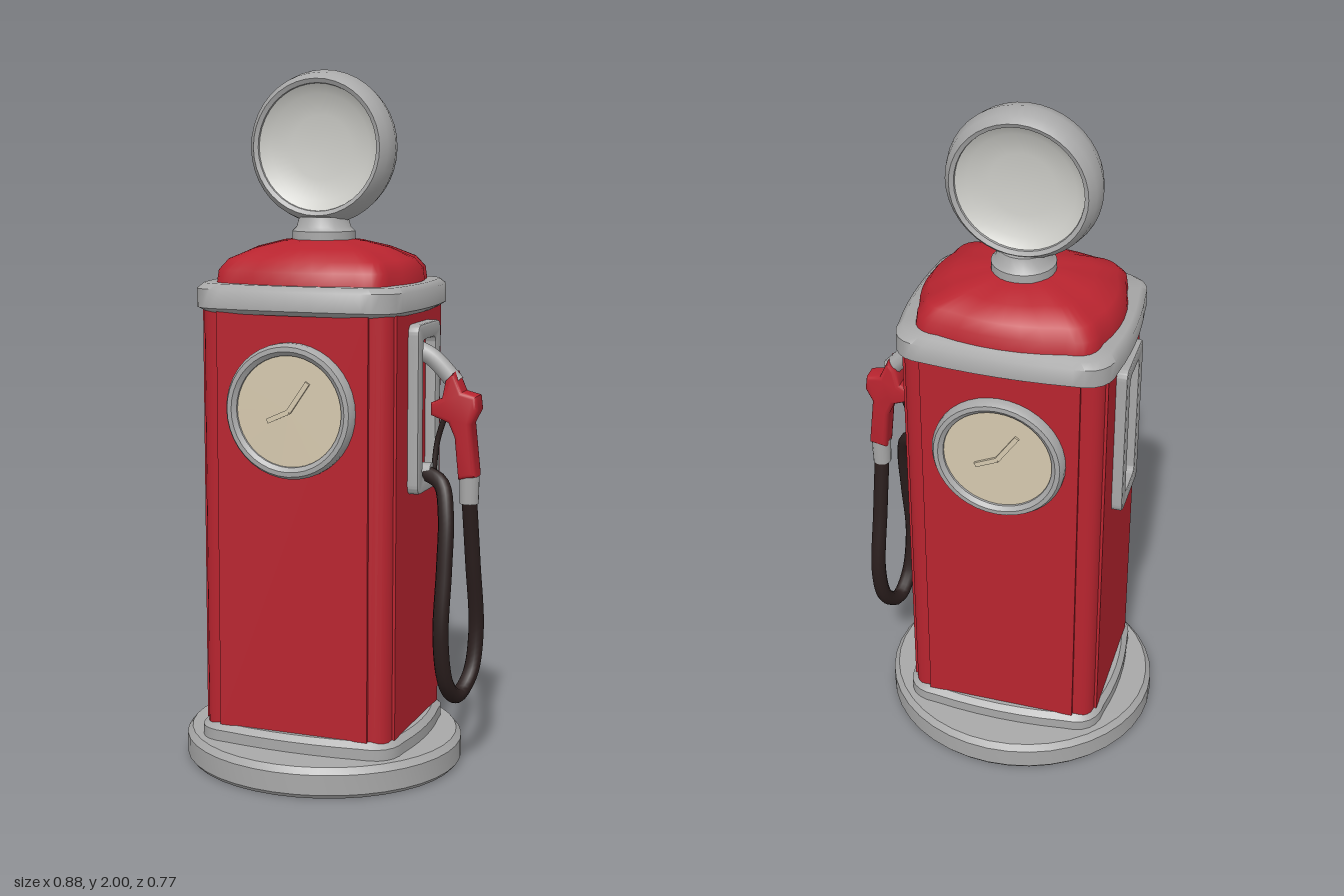
import * as THREE from 'three';
import { toCreasedNormals } from 'three/addons/utils/BufferGeometryUtils.js';

const mat = (name, color, side = THREE.FrontSide) => {
  const m = new THREE.MeshStandardMaterial({ color, side });
  m.name = name;
  return m;
};
const V = (x, y, z) => new THREE.Vector3(x, y, z);
const P = (x, y) => new THREE.Vector2(x, y);

// Rounded rectangle whose sides bow outward by `bow`; hx, hy include the bow
function roundedRect(hx, hy, r, bow = 0, S = THREE.Shape) {
  const x = hx - bow, y = hy - bow, s = new S();
  s.moveTo(x, -y + r);
  s.quadraticCurveTo(x + 2 * bow, 0, x, y - r);
  s.quadraticCurveTo(x, y, x - r, y);
  s.quadraticCurveTo(0, y + 2 * bow, -x + r, y);
  s.quadraticCurveTo(-x, y, -x, y - r);
  s.quadraticCurveTo(-x - 2 * bow, 0, -x, -y + r);
  s.quadraticCurveTo(-x, -y, -x + r, -y);
  s.quadraticCurveTo(0, -y - 2 * bow, x - r, -y);
  s.quadraticCurveTo(x, -y, x, -y + r);
  return s;
}

// Skin rounded-rectangle sections [y, hx, hz, r, bow] from bottom to top
function loft(sections, crease = 0.6) {
  const pos = [], idx = [];
  let n = 0;
  for (const [y, hx, hz, r, bow] of sections) {
    const ring = roundedRect(hx, hz, r, bow).getPoints(6);
    if (ring[0].distanceTo(ring[ring.length - 1]) < 1e-6) ring.pop();
    n = ring.length;
    for (const p of ring) pos.push(p.x, y, -p.y);
  }
  const last = sections.length - 1, bottom = pos.length / 3, top = bottom + 1;
  pos.push(0, sections[0][0], 0, 0, sections[last][0], 0);
  for (let i = 0; i < n; i++) {
    const j = (i + 1) % n;
    for (let k = 0; k < last; k++) {
      const a = k * n, b = a + n;
      idx.push(a + i, a + j, b + j, a + i, b + j, b + i);
    }
    idx.push(bottom, j, i, top, last * n + i, last * n + j);
  }
  const g = new THREE.BufferGeometry();
  g.setAttribute('position', new THREE.Float32BufferAttribute(pos, 3));
  g.setIndex(idx);
  return toCreasedNormals(g, crease);
}

const lathe = (pts, seg = 40) =>
  toCreasedNormals(new THREE.LatheGeometry(pts.map(p => P(...p)), seg), 0.6);
const tube = (pts, r, seg = 12) =>
  new THREE.TubeGeometry(new THREE.CatmullRomCurve3(pts), seg, r, 10);

export function createModel() {
  const red = mat('red enamel', 0xb8242f);
  const grey = mat('grey metal', 0xa8a8a8);
  const white = mat('globe glass', 0xcdcdc8, THREE.DoubleSide);
  const cream = mat('cream dial', 0xd5c8ae);
  const black = mat('black rubber', 0x2a1e1d);

  const model = new THREE.Group();
  model.name = 'fuelPump';
  const cabinet = new THREE.Group();
  cabinet.name = 'cabinet';
  cabinet.position.x = -0.03;
  model.add(cabinet);
  const add = (name, geo, material, parent = cabinet) => {
    const m = new THREE.Mesh(geo, material);
    m.name = name;
    parent.add(m);
    return m;
  };

  // Oval foot and stepped plinth
  add('foot', lathe([[0, 0], [0.4, 0], [0.41, 0.012], [0.41, 0.07], [0.395, 0.088], [0, 0.092]]), grey)
    .scale.z = 0.945;
  add('plinth', loft([
    [0.08, 0.32, 0.275, 0.1, 0.015], [0.12, 0.32, 0.275, 0.1, 0.015], [0.137, 0.305, 0.26, 0.1, 0.015],
  ]), grey);

  // Body core with raised panels that leave grooves by the corners
  add('body', loft([[0.13, 0.283, 0.238, 0.055, 0], [1.35, 0.283, 0.238, 0.055, 0]]), red);
  add('frontBackPanel', new THREE.BoxGeometry(0.45, 1.21, 0.494).translate(0, 0.74, 0), red);
  add('sidePanel', new THREE.BoxGeometry(0.58, 1.21, 0.39).translate(0, 0.74, 0), red);

  // Rounded band and domed roof
  add('band', loft([
    [1.328, 0.3, 0.255, 0.1, 0.012], [1.342, 0.32, 0.275, 0.1, 0.012],
    [1.395, 0.32, 0.275, 0.1, 0.012], [1.41, 0.305, 0.26, 0.1, 0.012],
  ], 0.9), grey);
  add('roof', loft([
    [1.4, 0.285, 0.247, 0.08, 0.025], [1.445, 0.28, 0.242, 0.08, 0.025], [1.475, 0.258, 0.222, 0.08, 0.025],
    [1.505, 0.195, 0.17, 0.07, 0.025], [1.524, 0.12, 0.11, 0.05, 0.02], [1.532, 0.05, 0.05, 0.02, 0.01],
  ], 1.0), red);

  // Globe on its collar, with a shallow dish on each side
  add('collar', lathe([[0.09, 1.505], [0.09, 1.55], [0.078, 1.562], [0.07, 1.59], [0, 1.59]], 24), grey);
  const globe = new THREE.Group();
  globe.name = 'globe';
  globe.position.y = 1.784;
  cabinet.add(globe);
  add('globeRim', lathe([
    [0.172, -0.025], [0.178, -0.056], [0.19, -0.062], [0.207, -0.04], [0.216, 0],
    [0.207, 0.04], [0.19, 0.062], [0.178, 0.056], [0.172, 0.025],
  ]).rotateX(Math.PI / 2), grey, globe);
  for (const s of [1, -1]) {
    const dish = lathe([[0, 0.016], [0.09, 0.02], [0.15, 0.032], [0.177, 0.05]]);
    add('globeDish', dish.rotateX(s * Math.PI / 2), white, globe);
  }

  // Round dials, front and back
  for (const turn of [0, Math.PI]) {
    const dial = new THREE.Group();
    dial.name = turn ? 'backDial' : 'frontDial';
    dial.position.y = 1.065;
    dial.rotation.y = turn;
    cabinet.add(dial);
    add('dialRing', lathe([
      [0.19, 0.23], [0.19, 0.262], [0.181, 0.277], [0.168, 0.278], [0.156, 0.268], [0.154, 0.25],
    ]).rotateX(Math.PI / 2), grey, dial);
    add('dialFace', new THREE.CylinderGeometry(0.158, 0.158, 0.02, 40).rotateX(Math.PI / 2).translate(0, 0, 0.252),
      cream, dial);
    for (const [len, angle] of [[0.1, -0.6], [0.07, 2.0]]) {
      add('dialHand', new THREE.BoxGeometry(0.014, len, 0.008).translate(0, len / 2, 0.265).rotateZ(angle), cream, dial);
    }
  }

  // Upright frames on both sides
  for (const s of [1, -1]) {
    const shape = roundedRect(0.1, 0.24, 0.03);
    shape.holes.push(roundedRect(0.055, 0.195, 0.02, 0, THREE.Path));
    const geo = new THREE.ExtrudeGeometry(shape, {
      depth: 0.035, bevelEnabled: true, bevelSize: 0.006, bevelOffset: -0.006, bevelThickness: 0.006, bevelSegments: 2,
    });
    const frame = add(s > 0 ? 'leftFrame' : 'rightFrame', toCreasedNormals(geo, 0.6), grey);
    frame.rotation.y = s * Math.PI / 2;
    frame.position.set(s * 0.28, 1.06, 0);
  }

  // Nozzle hanging on the left side
  const nozzle = new THREE.Group();
  nozzle.name = 'nozzle';
  model.add(nozzle);
  const grip = new THREE.Shape([
    [0.345, 1.14], [0.37, 1.165], [0.395, 1.11], [0.437, 1.1], [0.442, 1.06], [0.422, 1.02], [0.438, 0.87],
    [0.385, 0.86], [0.373, 0.98], [0.355, 1.02], [0.302, 1.04], [0.302, 1.075], [0.335, 1.09],
  ].map(p => P(...p)));
  add('nozzleGrip', toCreasedNormals(new THREE.ExtrudeGeometry(grip, {
    depth: 0.04, bevelEnabled: true, bevelSize: 0.012, bevelOffset: -0.012, bevelThickness: 0.014, bevelSegments: 3,
  }).translate(0, 0, -0.02), 0.8), red, nozzle);
  add('spout', tube([V(0.25, 1.225, 0), V(0.3, 1.2, 0), V(0.37, 1.13, 0)], 0.026), grey, nozzle);
  add('triggerGuard', tube([V(0.335, 1.03, 0), V(0.315, 0.96, 0), V(0.308, 0.87, 0.01)], 0.008), black, nozzle);
  add('coupling', new THREE.CylinderGeometry(0.029, 0.027, 0.08, 16).translate(0.411, 0.83, 0), grey, nozzle);
  add('hoseSocket', new THREE.CylinderGeometry(0.026, 0.026, 0.06, 16).rotateZ(Math.PI / 2)
    .translate(0.277, 0.878, 0.02), grey, nozzle);

  // Looping hose
  add('hose', tube([
    V(0.411, 0.81, 0), V(0.415, 0.62, -0.03), V(0.418, 0.4, -0.063), V(0.41, 0.28, -0.035), V(0.39, 0.232, 0.028),
    V(0.377, 0.28, 0.09), V(0.37, 0.42, 0.125), V(0.372, 0.62, 0.105), V(0.366, 0.77, 0.075), V(0.342, 0.85, 0.045),
    V(0.28, 0.878, 0.02),
  ], 0.023, 72), black, nozzle);

  return model;
}
